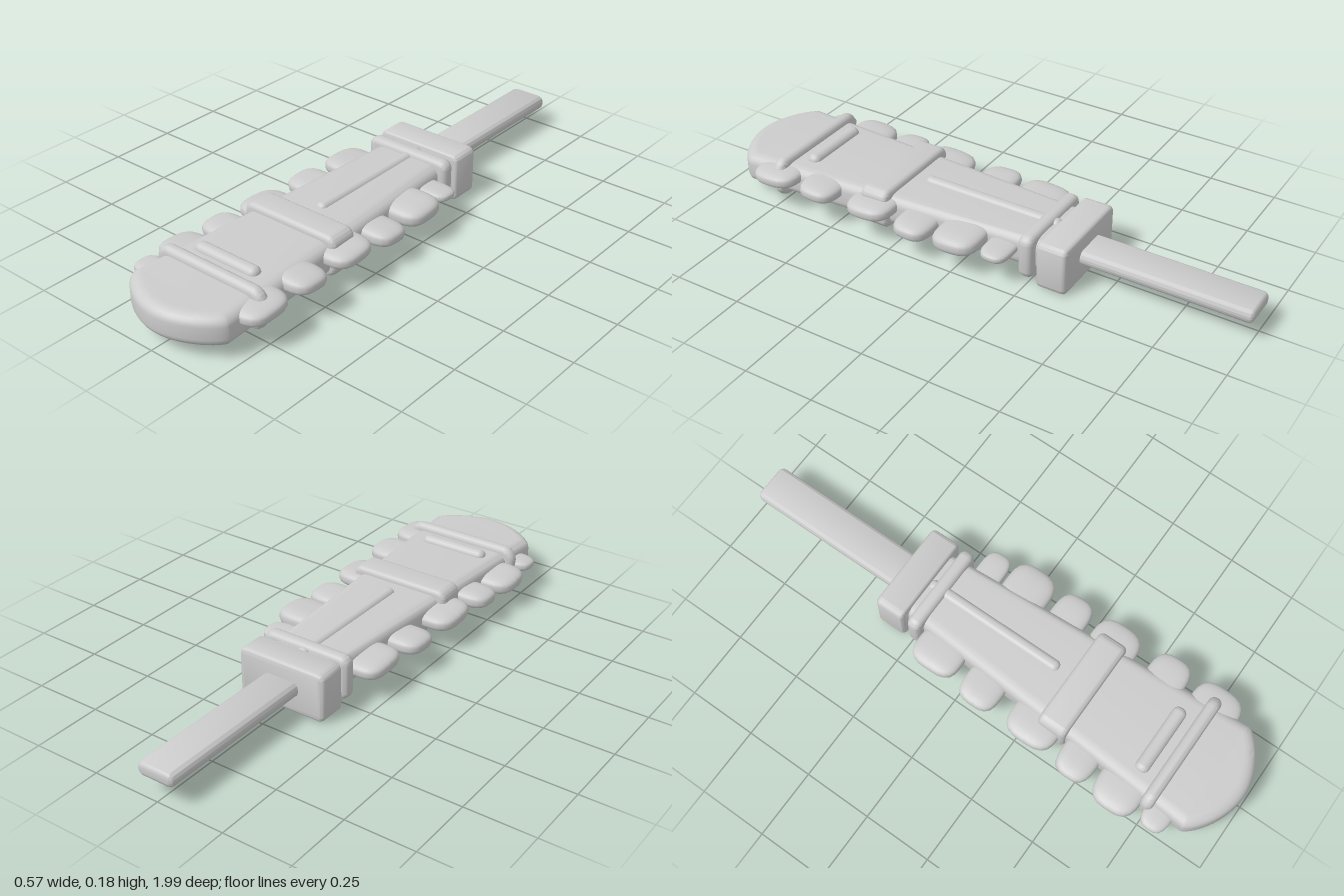
import * as THREE from 'three';
import { toCreasedNormals } from 'three/addons/utils/BufferGeometryUtils.js';
import { RoundedBoxGeometry } from 'three/addons/geometries/RoundedBoxGeometry.js';

const CX = 0.007; // centre line of the weapon
const material = new THREE.MeshStandardMaterial({ color: 0xcccccc });

function add(group, name, geometry) {
  const mesh = new THREE.Mesh(geometry, material);
  mesh.name = name;
  group.add(mesh);
  return mesh;
}

// Rounded rectangle in x/y, extruded along z with soft edges
function slab(x0, x1, y0, y1, z0, z1, r, bevel) {
  const s = new THREE.Shape();
  s.moveTo(x0 + r, y0);
  s.lineTo(x1 - r, y0);
  s.absarc(x1 - r, y0 + r, r, -Math.PI / 2, 0);
  s.lineTo(x1, y1 - r);
  s.absarc(x1 - r, y1 - r, r, 0, Math.PI / 2);
  s.lineTo(x0 + r, y1);
  s.absarc(x0 + r, y1 - r, r, Math.PI / 2, Math.PI);
  s.lineTo(x0, y0 + r);
  s.absarc(x0 + r, y0 + r, r, Math.PI, Math.PI * 1.5);
  const g = new THREE.ExtrudeGeometry(s, {
    depth: z1 - z0 - 2 * bevel, bevelSize: bevel, bevelThickness: bevel,
    bevelOffset: -bevel, bevelSegments: 4, curveSegments: 8,
  });
  g.translate(0, 0, z0 + bevel);
  return toCreasedNormals(g, 0.7);
}

// Flat blade widening to a rounded tip, thinning slightly towards it
function bladeGeometry() {
  const s = new THREE.Shape();
  s.moveTo(-0.132, 0.33);
  s.lineTo(0.132, 0.33);
  s.lineTo(0.209, -0.88);
  s.bezierCurveTo(0.2, -0.915, 0.1, -0.99, 0, -0.99);
  s.bezierCurveTo(-0.1, -0.99, -0.2, -0.915, -0.209, -0.88);
  s.closePath();
  const g = new THREE.ExtrudeGeometry(s, {
    depth: 0.046, bevelSize: 0.042, bevelThickness: 0.036, bevelOffset: -0.042,
    bevelSegments: 6, curveSegments: 16,
  });
  g.translate(0, 0, -0.023);
  g.rotateX(-Math.PI / 2);
  const p = g.attributes.position;
  for (let i = 0; i < p.count; i++) {
    p.setY(i, p.getY(i) * (1.03 - 0.1 * p.getZ(i)));
  }
  g.translate(CX, 0.097, 0);
  return toCreasedNormals(g, 0.7);
}

// Pebble shape: a sphere pushed towards a box
function stoneGeometry(w, h, d) {
  const g = new THREE.SphereGeometry(1, 28, 20);
  const p = g.attributes.position;
  const v = new THREE.Vector3();
  for (let i = 0; i < p.count; i++) {
    v.fromBufferAttribute(p, i);
    const n = 3.2;
    const len = Math.pow(Math.abs(v.x) ** n + Math.abs(v.y) ** n + Math.abs(v.z) ** n, 1 / n);
    v.divideScalar(len);
    p.setXYZ(i, v.x * w / 2, v.y * h / 2, v.z * d / 2);
  }
  g.computeVertexNormals();
  return g;
}

export function createModel() {
  const model = new THREE.Group();
  model.name = 'toothedClub';

  add(model, 'handle', slab(-0.065, 0.077, 0.067, 0.12, -1, -0.33, 0.024, 0.018));
  add(model, 'guard', slab(-0.164, 0.177, 0, 0.178, -0.395, -0.283, 0.026, 0.016));
  add(model, 'guardRing', slab(-0.164, 0.177, 0.016, 0.178, -0.266, -0.214, 0.032, 0.02));
  add(model, 'blade', bladeGeometry());
  add(model, 'middleBand', slab(-0.187, 0.202, 0.03, 0.178, 0.293, 0.402, 0.035, 0.018));
  add(model, 'tipBand', slab(-0.22, 0.234, 0.03, 0.178, 0.72, 0.766, 0.05, 0.021));

  // Raised details showing on both faces of the blade
  add(model, 'centreRidge', new RoundedBoxGeometry(0.044, 0.142, 0.54, 4, 0.02))
    .position.set(CX, 0.098, -0.018);
  add(model, 'crossBar', new RoundedBoxGeometry(0.264, 0.142, 0.05, 4, 0.023))
    .position.set(-0.002, 0.104, 0.665);

  // Stone teeth: start z, end z, outer reach, bottom y, top y
  const teeth = {
    left: [
      [-0.2, -0.1, 0.25, 0.088, 0.126], [-0.09, 0.08, 0.276, 0.078, 0.145],
      [0.1, 0.235, 0.276, 0.073, 0.132], [0.263, 0.435, 0.272, 0.088, 0.146],
      [0.488, 0.632, 0.278, 0.092, 0.15], [0.66, 0.838, 0.278, 0.09, 0.148],
    ],
    right: [
      [-0.21, -0.03, 0.24, 0.078, 0.136], [0, 0.145, 0.256, 0.072, 0.13],
      [0.196, 0.382, 0.262, 0.075, 0.135], [0.408, 0.542, 0.276, 0.07, 0.13],
      [0.56, 0.728, 0.288, 0.065, 0.13], [0.742, 0.842, 0.266, 0.08, 0.124],
    ],
  };
  for (const side of ['left', 'right']) {
    const sign = side === 'left' ? 1 : -1;
    teeth[side].forEach(([z0, z1, reach, y0, y1], i) => {
      const inner = 0.09;
      const tooth = add(model, `${side}Tooth${i + 1}`, stoneGeometry(reach - inner, y1 - y0, z1 - z0));
      tooth.position.set(sign * (reach + inner) / 2, (y0 + y1) / 2, (z0 + z1) / 2);
      tooth.rotation.x = (i % 2 ? 1 : -1) * 0.05;
    });
  }
  return model;
}
